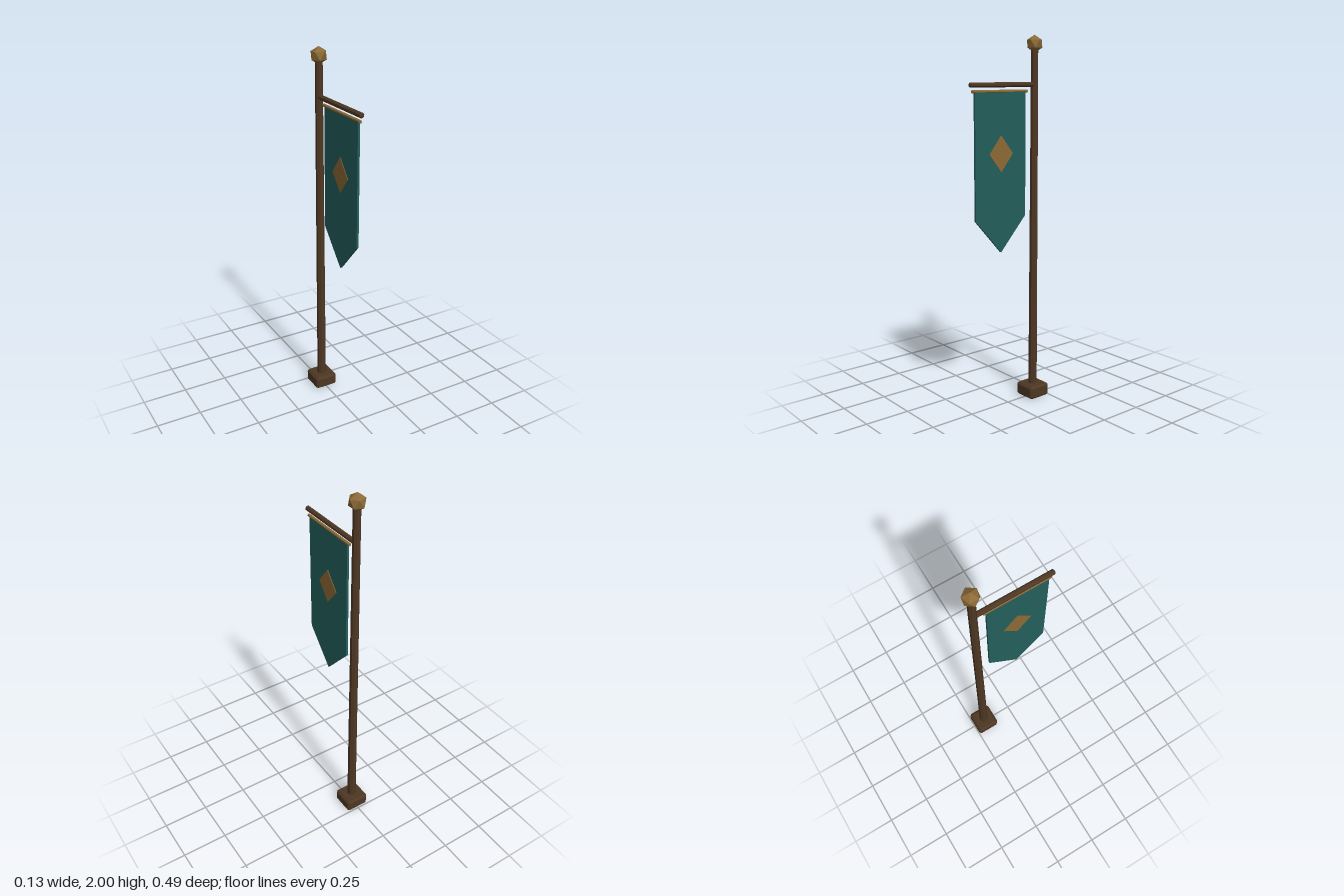
import * as THREE from 'three';
import { ConvexGeometry } from 'three/addons/geometries/ConvexGeometry.js';

const material = (name, color) => {
  const m = new THREE.MeshStandardMaterial({ color, flatShading: true });
  m.name = name;
  return m;
};

// Box with every edge cut at 45 degrees
function chamferedBox(w, h, d, c) {
  const points = [];
  for (const x of [-1, 1]) for (const y of [-1, 1]) for (const z of [-1, 1]) {
    for (let axis = 0; axis < 3; axis++) {
      const inset = [c, c, c];
      inset[axis] = 0;
      points.push(new THREE.Vector3(
        x * (w / 2 - inset[0]), y * (h / 2 - inset[1]), z * (d / 2 - inset[2])));
    }
  }
  return new ConvexGeometry(points);
}

// Eight-sided bar along z with chamfered ends
function bar(radius, length, chamfer) {
  const h = length / 2;
  const profile = [
    [0, -h], [radius - chamfer, -h], [radius, -h + chamfer],
    [radius, h - chamfer], [radius - chamfer, h], [0, h],
  ].map(([x, y]) => new THREE.Vector2(x, y));
  return new THREE.LatheGeometry(profile, 8).rotateY(Math.PI / 8).rotateX(Math.PI / 2);
}

// Flat outline of [z, y] points, given thickness along x
function plate(outline, thickness) {
  const shape = new THREE.Shape(outline.map(([z, y]) => new THREE.Vector2(-z, y)));
  return new THREE.ExtrudeGeometry(shape, { depth: thickness, bevelEnabled: false })
    .translate(0, 0, -thickness / 2).rotateY(Math.PI / 2);
}

export function createModel() {
  const group = new THREE.Group();
  const wood = material('dark wood', 0x4e3723);
  const cloth = material('teal cloth', 0x235f5c);
  const gold = material('old gold', 0x8c6a36);

  const add = (name, geometry, mat, x, y, z) => {
    const mesh = new THREE.Mesh(geometry, mat);
    mesh.name = name;
    mesh.position.set(x, y, z);
    group.add(mesh);
  };

  const poleZ = -0.181;
  const bannerZ = 0.051;

  // Foot and tapering pole
  add('base', chamferedBox(0.132, 0.072, 0.132, 0.011), wood, 0, 0.036, poleZ);
  const pole = new THREE.CylinderGeometry(0.02, 0.025, 1.87, 8).rotateY(Math.PI / 8);
  add('pole', pole, wood, 0, 0.995, poleZ);

  // Faceted knob standing on one of its corners
  const knob = new THREE.IcosahedronGeometry(0.046, 0)
    .rotateZ(-Math.atan(2 / (1 + Math.sqrt(5))));
  add('finial', knob, gold, 0, 1.954, poleZ);

  // Arm and the thin rod below it
  add('arm', bar(0.0138, 0.425, 0.004), wood, 0, 1.744, 0.033);
  add('bannerRod', bar(0.0085, 0.362, 0.002), gold, 0, 1.711, bannerZ);

  // Pointed cloth
  const half = 0.166;
  add('banner', plate(
    [[half, 1.71], [half, 1.05], [0, 0.866], [-half, 1.05], [-half, 1.71]], 0.012),
  cloth, 0, 0, bannerZ);

  // Diamond on each face of the cloth
  for (const side of [-1, 1]) {
    add(side > 0 ? 'leftDiamond' : 'rightDiamond',
      plate([[0.077, 0], [0, -0.096], [-0.077, 0], [0, 0.096]], 0.004),
      gold, side * 0.007, 1.39, bannerZ);
  }
  return group;
}
